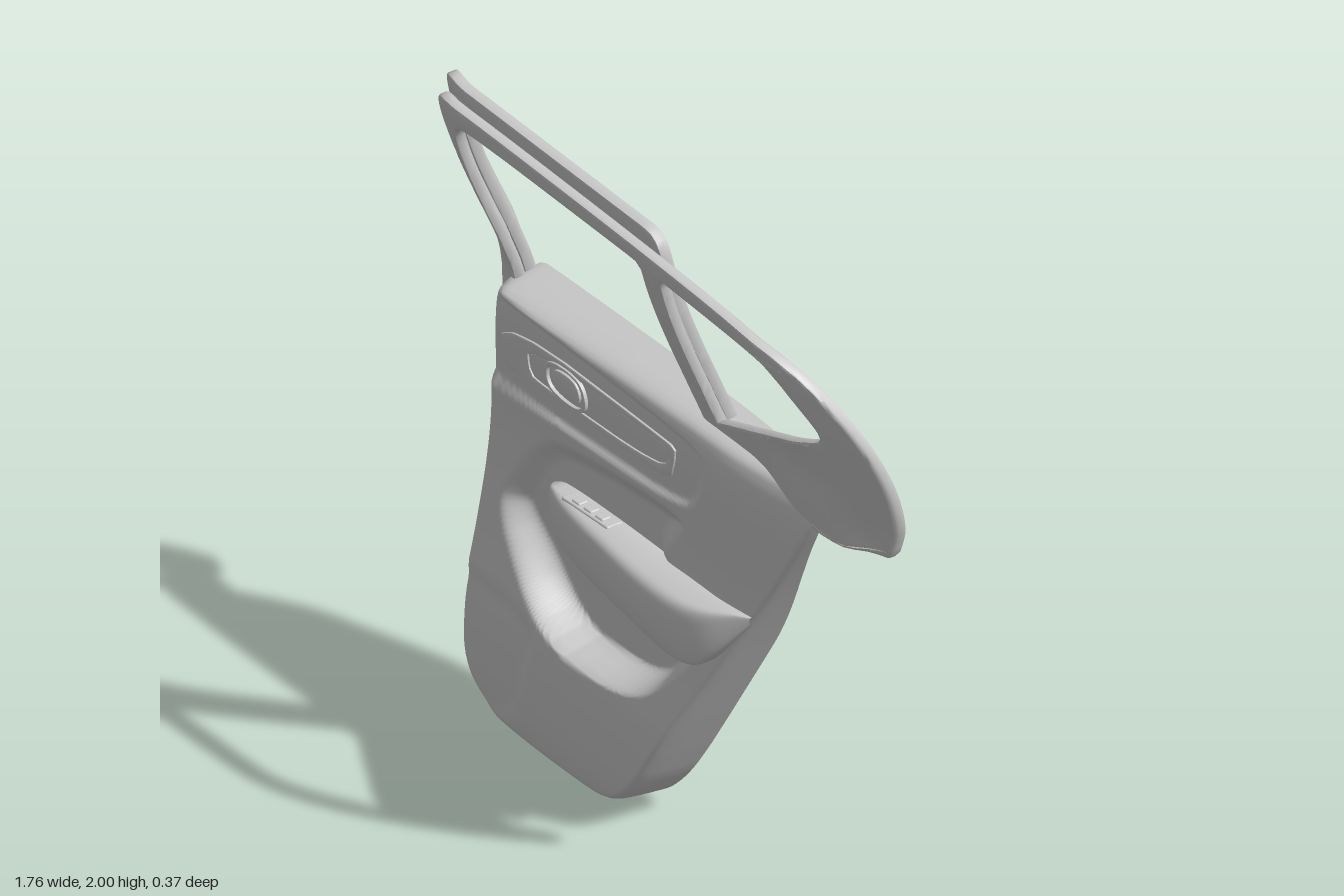
import * as THREE from 'three';
import { toCreasedNormals } from 'three/addons/utils/BufferGeometryUtils.js';
import { RoundedBoxGeometry } from 'three/addons/geometries/RoundedBoxGeometry.js';

const mat = new THREE.MeshStandardMaterial({ color: 0xcccccc, side: THREE.DoubleSide });
const sstep = (a, b, v) => { const t = Math.min(1, Math.max(0, (v - a) / (b - a))); return t * t * (3 - 2 * t); };

// smooth lookup in a short [key, value] table
function lookup(table, k) {
  const last = table.length - 1;
  if (k <= table[0][0]) return table[0][1];
  if (k >= table[last][0]) return table[last][1];
  const i = table.findIndex(e => k <= e[0]);
  const slope = n => {
    const a = table[Math.max(0, n - 1)], b = table[Math.min(last, n + 1)];
    return (b[1] - a[1]) / (b[0] - a[0]);
  };
  const [a, va] = table[i - 1], [b, vb] = table[i], h = b - a, t = (k - a) / h, u = 1 - t;
  return u * u * (1 + 2 * t) * va + t * t * (3 - 2 * t) * vb + h * t * u * (u * slope(i - 1) - t * slope(i));
}

// corner-cut a closed outline, then space its points evenly
function outline(pts, n, rounds = 2) {
  let p = pts.map(([x, y]) => new THREE.Vector2(x, y));
  for (let r = 0; r < rounds; r++) {
    p = p.flatMap((a, i) => {
      const b = p[(i + 1) % p.length];
      return [a.clone().lerp(b, 0.25), a.clone().lerp(b, 0.75)];
    });
  }
  p.push(p[0].clone());
  return new THREE.Path(p).getSpacedPoints(n).slice(0, n);
}

// signed distance to a closed outline, negative inside
function signedDistance(poly, x, y) {
  let best = Infinity, inside = false;
  poly.forEach((a, i) => {
    const b = poly[(i + 1) % poly.length], ex = b.x - a.x, ey = b.y - a.y;
    const t = Math.min(1, Math.max(0, ((x - a.x) * ex + (y - a.y) * ey) / (ex * ex + ey * ey || 1)));
    best = Math.min(best, Math.hypot(x - a.x - t * ex, y - a.y - t * ey));
    if ((a.y > y) !== (b.y > y) && x < a.x + ex * (y - a.y) / ey) inside = !inside;
  });
  return inside ? -best : best;
}

// smooth surface through a rows x cols table of points, columns closed
function surface(rows, cols, point) {
  const pos = [], idx = [];
  for (let i = 0; i < rows; i++) for (let j = 0; j < cols; j++) pos.push(...point(i, j));
  for (let i = 0; i < rows - 1; i++) for (let j = 0; j < cols; j++) {
    const a = i * cols + j, b = i * cols + (j + 1) % cols, c = a + cols, d = b + cols;
    idx.push(a, c, d, a, d, b);
  }
  const g = new THREE.BufferGeometry();
  g.setAttribute('position', new THREE.Float32BufferAttribute(pos, 3));
  g.setIndex(idx);
  g.computeVertexNormals();
  return g;
}

// halve the longest edge of a triangle until every edge is short
function split(tri, max, out) {
  const len = tri.map((p, i) => p.distanceTo(tri[(i + 1) % 3]));
  const i = len.indexOf(Math.max(...len));
  if (len[i] <= max) { tri.forEach(p => out.push(p.x, p.y, p.z)); return; }
  const a = tri[i], b = tri[(i + 1) % 3], c = tri[(i + 2) % 3], m = a.clone().add(b).multiplyScalar(0.5);
  split([a, m, c], max, out);
  split([m, b, c], max, out);
}

// bevelled extrusion whose vertices are laid onto the surface z = height(x, y)
function draped(contour, holes, depth, bevel, height) {
  const shape = new THREE.Shape(contour);
  holes.forEach(h => shape.holes.push(new THREE.Path(h)));
  const src = new THREE.ExtrudeGeometry(shape, {
    depth: depth - 2 * bevel, bevelSize: bevel, bevelThickness: bevel, bevelOffset: -bevel, bevelSegments: 2, curveSegments: 1,
  }).attributes.position;
  const out = [], corner = i => new THREE.Vector3().fromBufferAttribute(src, i);
  for (let i = 0; i < src.count; i += 3) split([corner(i), corner(i + 1), corner(i + 2)], 0.06, out);
  const g = new THREE.BufferGeometry();
  const p = new THREE.Float32BufferAttribute(out, 3);
  for (let i = 0; i < p.count; i++) p.setZ(i, p.getZ(i) + bevel - depth + height(p.getX(i), p.getY(i)));
  g.setAttribute('position', p);
  return toCreasedNormals(g, 0.7);
}

const panelEdge = outline([[-0.785, 1.29], [-0.88, 0.28], [-0.875, 0.12], [-0.8, 0.03], [-0.68, 0.0], [-0.35, 0.0],
  [-0.23, 0.02], [-0.13, 0.1], [-0.03, 0.24], [0.6, 1.27], [0.615, 1.34], [0.6, 1.355], [0.05, 1.357], [-0.75, 1.318], [-0.78, 1.31]], 240);
const pocket = outline([[-0.75, 0.65], [-0.7, 0.78], [-0.6, 0.92], [-0.48, 0.99], [0.08, 1.045], [0.03, 0.95], [-0.06, 0.86],
  [0.12, 0.82], [0.15, 0.68], [0, 0.5], [-0.1, 0.43], [-0.25, 0.395], [-0.5, 0.395]], 80);
const decor = outline([[-0.95, 1.0], [-0.4, 1.025], [0.07, 1.055], [0.13, 1.13], [0.16, 1.25], [0.1, 1.285], [-0.73, 1.29], [-0.95, 1.29]], 70);
const speaker = outline([[-1, 0.46], [-0.62, 0.46], [-0.5, 0.4], [-0.55, 0.25], [-0.62, 0.05], [-1, 0.0]], 50);

const faceProfile = [[0, 0.0], [0.05, 0.018], [0.12, 0.032], [0.22, 0.038], [0.36, 0.036], [0.46, 0.023], [0.58, 0.006],
  [0.75, -0.012], [0.9, -0.018], [1.05, -0.01], [1.2, 0], [1.28, -0.003], [1.33, -0.018], [1.36, -0.035]];

// front face of the trim panel
function faceZ(x, y) {
  let z = lookup(faceProfile, y) - 0.035 * sstep(0.2, 0.6, x);
  z -= 0.016 * sstep(0.004, -0.018, signedDistance(decor, x, y));
  z -= 0.01 * sstep(0.0, -0.05, signedDistance(speaker, x, y));
  // storage pocket, deepest and steepest at its lower lip
  const floor = -0.05 - 0.035 * sstep(0.85, 0.5, y), wall = 0.03 + 0.04 * sstep(0.42, 0.6, y);
  return THREE.MathUtils.lerp(z, floor, sstep(0.005, -wall, signedDistance(pocket, x, y)));
}

const sillRear = [[-0.78, -0.168], [0.1, -0.147], [0.3, -0.138], [0.45, -0.115], [0.6, -0.06]];
function trimPanel() {
  const cx = -0.2, cy = 0.72, n = 84;
  // [scale, share of the way back] for the rolled edge and the flange
  const rim = [[0.95, 0.02], [0.962, 0.08], [0.973, 0.2], [0.982, 0.4], [0.992, 0.7], [1, 1]];
  return surface(n + rim.length, panelEdge.length, (i, j) => {
    const [s, back] = i < n ? [0.938 * i / (n - 1), 0] : rim[i - n];
    const x = cx + (panelEdge[j].x - cx) * s, y = cy + (panelEdge[j].y - cy) * s;
    // side flange narrows upwards, window sill ledge reaches far back
    const side = -0.133 - 0.013 * sstep(0, 0.3, y) + 0.09 * sstep(0.7, 1.3, y);
    const rear = THREE.MathUtils.lerp(side, lookup(sillRear, x), sstep(1.285, 1.315, panelEdge[j].y));
    return [x, y, THREE.MathUtils.lerp(faceZ(x, y), rear, back)];
  });
}

// armrest lofted along x from rounded sections
const restTop = [[-0.555, 0.81], [-0.5, 0.838], [-0.3, 0.855], [0, 0.862], [0.33, 0.872]];
const restBottom = [[-0.555, 0.79], [-0.53, 0.735], [-0.48, 0.7], [-0.38, 0.68], [-0.15, 0.668], [0.05, 0.653], [0.14, 0.66], [0.2, 0.69], [0.33, 0.85]];
const restFront = [[-0.555, -0.04], [-0.52, -0.005], [-0.42, 0.03], [-0.2, 0.06], [0, 0.075], [0.12, 0.072], [0.22, 0.045], [0.33, -0.02]];
function armrest() {
  const pw = v => Math.sign(v) * Math.abs(v) ** 0.36;
  return surface(50, 40, (i, j) => {
    const x = -0.555 + 0.885 * i / 49, a = j / 40 * Math.PI * 2;
    const t = lookup(restTop, x), b = lookup(restBottom, x), f = lookup(restFront, x), r = -0.055 + 0.025 * sstep(0, 0.2, x);
    const c = pw(Math.cos(a)), s = pw(Math.sin(a));
    const tuck = c > 0 && s < 0 ? 1 + 0.3 * s : 1; // underside tucks inward
    const z = (f + r) / 2 + (f - r) / 2 * c * tuck;
    return [x, (t + b) / 2 + (t - b) / 2 * s - 0.3 * Math.max(0, z) * sstep(-1, 1, s), z];
  });
}

// leaning surface of the window frame, wrapping back at both ends
const lean = [[1.16, -0.085], [1.3, -0.06], [1.45, 0.002], [1.6, 0.068], [1.74, 0.125], [1.86, 0.165], [1.95, 0.187], [2.0, 0.195]];
function frameZ(x, y) {
  const right = Math.max(0, (x - 0.58) / 0.29), left = Math.max(0, (-x - 0.65) / 0.2);
  const corner = 0.03 * sstep(0.3, 0.52, x) * sstep(0.76, 0.68, x) * sstep(1.5, 1.3, y);
  return lookup(lean, y) + corner - 0.08 * right * right - (0.03 + 0.035 * sstep(1.2, 1.5, y)) * left * left;
}

export function createModel() {
  const model = new THREE.Group();
  const add = (name, geometry, parent = model) => {
    const m = new THREE.Mesh(geometry, mat);
    m.name = name;
    parent.add(m);
    return m;
  };

  add('trimPanel', trimPanel());
  add('armrest', armrest());

  // window frame with the quarter window cut out
  const frame = outline([[-0.885, 1.155], [-0.885, 1.155], [-0.8, 1.155], [-0.8, 1.155], [-0.745, 1.32], [-0.715, 1.78], [-0.69, 1.88],
    [-0.6, 1.9], [0.06, 1.893], [0.118, 1.89], [0.118, 1.87], [0.085, 1.33], [0.085, 1.33], [0.3, 1.3], [0.58, 1.255], [0.58, 1.255],
    [0.8, 1.255], [0.8, 1.255], [0.865, 1.4], [0.885, 1.6], [0.84, 1.77], [0.74, 1.89], [0.58, 1.93], [0.1, 1.952],
    [-0.62, 1.963], [-0.77, 1.955], [-0.805, 1.85], [-0.83, 1.65]], 220);
  const quarterWindow = outline([[0.165, 1.365], [0.165, 1.365], [0.2, 1.885], [0.22, 1.885], [0.56, 1.868], [0.65, 1.85],
    [0.735, 1.72], [0.755, 1.65], [0.7, 1.62], [0.19, 1.38]], 90);
  add('windowFrame', draped(frame, [quarterWindow], 0.035, 0.009, frameZ));

  // outer seal channel around the main window
  const seal = outline([[-0.845, 1.19], [-0.845, 1.19], [-0.775, 1.19], [-0.775, 1.19], [-0.755, 1.4], [-0.725, 1.78], [-0.705, 1.9],
    [-0.6, 1.918], [0.04, 1.915], [0.112, 1.91], [0.112, 1.8], [0.088, 1.27], [0.088, 1.27], [0.143, 1.27], [0.143, 1.27], [0.175, 1.8],
    [0.18, 1.95], [0.15, 1.995], [0.05, 1.995], [-0.65, 2.0], [-0.775, 2.0], [-0.79, 1.93], [-0.815, 1.7]], 200);
  add('windowSeal', draped(seal, [], 0.035, 0.006, (x, y) => frameZ(x, y) - 0.038));

  // inlay strip carrying the door handle
  const inlayZ = lift => (x, y) => lookup(faceProfile, y) - 0.016 + lift;
  const strip = outline([[-0.73, 1.23], [-0.74, 1.085], [-0.69, 1.08], [-0.02, 1.105], [0.0, 1.13], [0.025, 1.22], [0.0, 1.225]], 70);
  const stripInner = outline([[-0.62, 1.205], [-0.62, 1.115], [-0.58, 1.105], [-0.03, 1.125], [-0.01, 1.2], [-0.03, 1.21]], 60);
  add('inlaySurround', draped(strip, [stripInner], 0.016, 0.004, inlayZ(0.006)));
  add('inlay', draped(stripInner, [], 0.01, 0.003, inlayZ(0.002)));

  // door handle: rounded bezel and pull lever
  const bezel = [[-0.54, 1.21], [-0.55, 1.13], [-0.49, 1.105], [-0.37, 1.11], [-0.36, 1.18], [-0.4, 1.22]];
  const inset = (x, y, k) => [-0.45 + (x + 0.45) * k, 1.163 + (y - 1.163) * k];
  const bezelInner = outline(bezel.map(([x, y]) => inset(x, y, 0.84)), 40);
  add('handleBezel', draped(outline(bezel, 40), [bezelInner], 0.02, 0.003, inlayZ(0.012)));
  add('handleLever', draped(outline(bezel.map(([x, y]) => inset(x, y, 0.66)), 40), [], 0.016, 0.005, inlayZ(0.01)));

  // window switches on the armrest
  const switches = new THREE.Group();
  switches.name = 'windowSwitches';
  switches.position.set(-0.34, 0.848, -0.012);
  switches.rotation.z = 0.05;
  model.add(switches);
  add('switchPlate', new RoundedBoxGeometry(0.2, 0.012, 0.05, 2, 0.005), switches);
  for (let i = -1; i <= 1; i++) {
    add('switchButton', new RoundedBoxGeometry(0.035, 0.012, 0.03, 2, 0.005), switches).position.set(i * 0.05, 0.005, 0.002);
  }
  return model;
}
